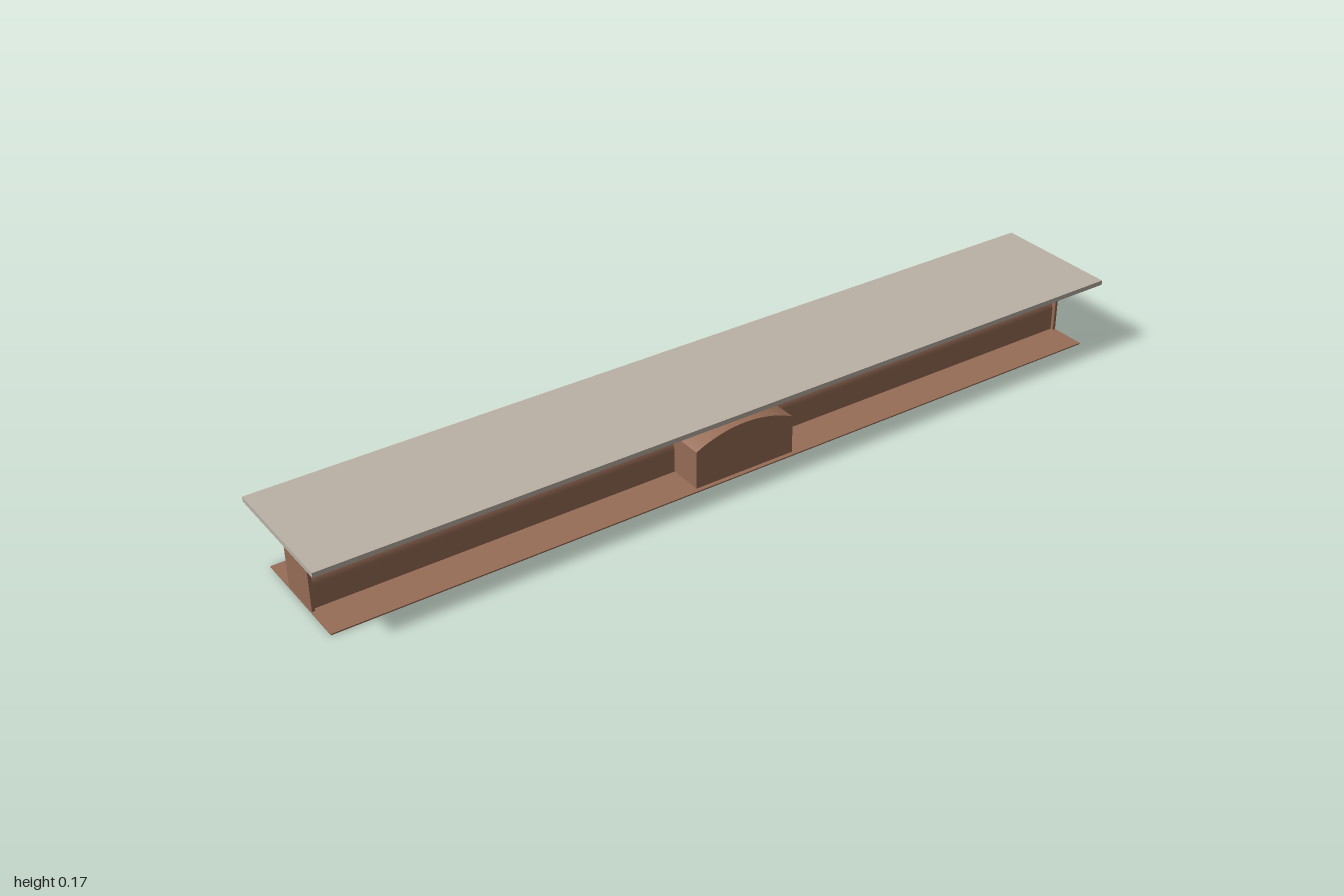
import * as THREE from 'three';

export function createModel() {
  const model = new THREE.Group();
  const copper = new THREE.MeshStandardMaterial({ color: 0x976d56 });
  copper.name = 'copper brown';
  const stone = new THREE.MeshStandardMaterial({ color: 0xbab2a6 });
  stone.name = 'warm grey';

  const add = (name, geometry, material, x = 0, y = 0, z = 0) => {
    const mesh = new THREE.Mesh(geometry, material);
    mesh.name = name;
    mesh.position.set(x, y, z);
    model.add(mesh);
    return mesh;
  };
  const box = (name, w, h, d, material, x, y, z) =>
    add(name, new THREE.BoxGeometry(w, h, d), material, x, y, z);
  const extrude = (shape, depth) => {
    const g = new THREE.ExtrudeGeometry(shape, { depth, bevelEnabled: false, curveSegments: 24 });
    return g.translate(0, 0, -depth / 2);
  };

  // Floating top slab and thin base plate
  box('topSlab', 2, 0.011, 0.308, stone, 0, 0.1625, 0);
  box('basePlate', 1.94, 0.003, 0.268, copper, 0, 0.0015, 0);

  // Long central beam: upright sides with a rounded crown
  const beamShape = new THREE.Shape();
  beamShape.moveTo(-0.043, 0.002);
  beamShape.lineTo(0.043, 0.002);
  beamShape.lineTo(0.043, 0.051);
  beamShape.absarc(0, 0.051, 0.043, 0, Math.PI, false);
  beamShape.closePath();
  add('beam', extrude(beamShape, 1.93), copper).rotation.y = Math.PI / 2;

  // End caps
  for (const side of [-1, 1]) {
    box('endCap', 0.007, 0.1, 0.102, copper, side * 0.9655, 0.052, 0);
  }

  // Arched centre housing with front and back plates
  const half = 0.125, eaves = 0.092, rise = 0.03;
  const radius = (half * half + rise * rise) / (2 * rise);
  const centreY = eaves + rise - radius;
  const start = Math.atan2(eaves - centreY, half);
  const arch = new THREE.Shape();
  arch.moveTo(-half, 0.002);
  arch.lineTo(half, 0.002);
  arch.lineTo(half, eaves);
  arch.absarc(0, centreY, radius, start, Math.PI - start, false);
  arch.closePath();
  add('centreHousing', extrude(arch, 0.24), copper);
  for (const side of [-1, 1]) {
    add('housingPlate', extrude(arch, 0.004), copper, 0, 0, side * 0.122);
  }
  return model;
}
